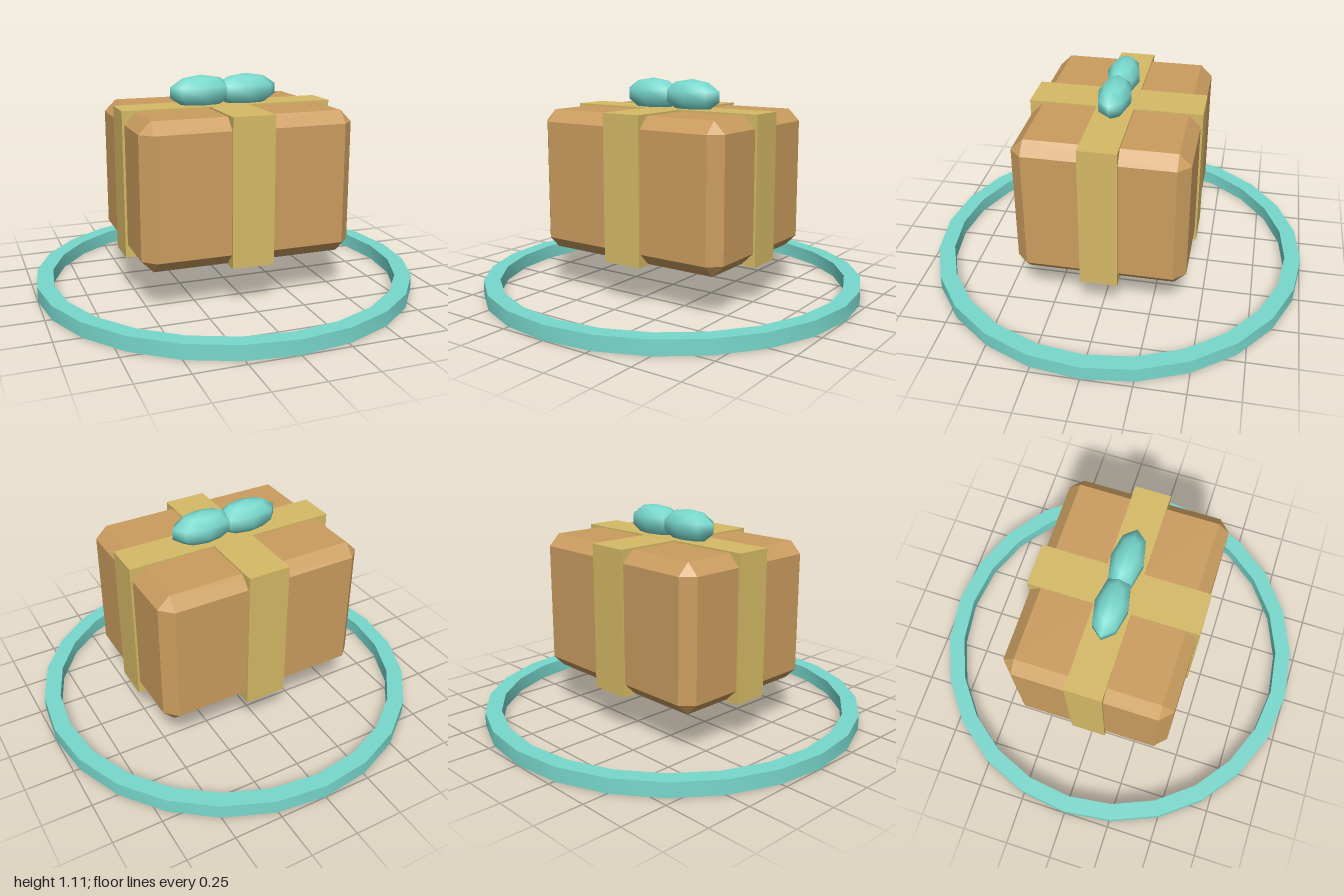
import * as THREE from 'three';
import { toCreasedNormals } from 'three/addons/utils/BufferGeometryUtils.js';
import { ConvexGeometry } from 'three/addons/geometries/ConvexGeometry.js';

const material = (name, color) => {
  const m = new THREE.MeshStandardMaterial({ color });
  m.name = name;
  return m;
};

// Box with every edge and corner cut off by one flat bevel
function chamferedBox(w, h, d, bevel) {
  const points = [];
  for (const sx of [-1, 1]) for (const sy of [-1, 1]) for (const sz of [-1, 1]) {
    for (let axis = 0; axis < 3; axis++) {
      const p = new THREE.Vector3(w / 2 - bevel, h / 2 - bevel, d / 2 - bevel);
      p.setComponent(axis, p.getComponent(axis) + bevel);
      points.push(p.multiply(new THREE.Vector3(sx, sy, sz)));
    }
  }
  return new ConvexGeometry(points);
}

export function createModel() {
  const group = new THREE.Group();
  const cardboard = material('cardboard', 0xcb9d5f);
  const gold = material('goldTape', 0xd6ba66);
  const teal = material('teal', 0x78d8cd);

  const add = (name, geometry, mat, x = 0, y = 0, z = 0) => {
    const mesh = new THREE.Mesh(geometry, mat);
    mesh.name = name;
    mesh.position.set(x, y, z);
    group.add(mesh);
    return mesh;
  };

  // Floating parcel and the two straps crossing around it
  const midY = 0.588;
  add('crate', chamferedBox(1.096, 0.734, 0.852, 0.06), cardboard, 0, midY, 0);
  add('strapAcross', new THREE.BoxGeometry(1.12, 0.752, 0.188), gold, 0, midY, 0);
  add('strapFrontToBack', new THREE.BoxGeometry(0.218, 0.75, 0.872), gold, 0, midY, 0);

  // Bow: two overlapping low-poly loops
  for (const side of [-1, 1]) {
    const loop = new THREE.SphereGeometry(1, 8, 5);
    loop.scale(0.174, 0.086, 0.086);
    add(side > 0 ? 'bowLoopLeft' : 'bowLoopRight', loop, teal, side * 0.122, 1.028, 0);
  }

  // Ground ring with a rectangular section
  const section = [[0.915, 0], [1, 0], [1, 0.075], [0.915, 0.075], [0.915, 0]]
    .map(([r, y]) => new THREE.Vector2(r, y));
  add('groundRing', toCreasedNormals(new THREE.LatheGeometry(section, 24), 0.6), teal);

  return group;
}
